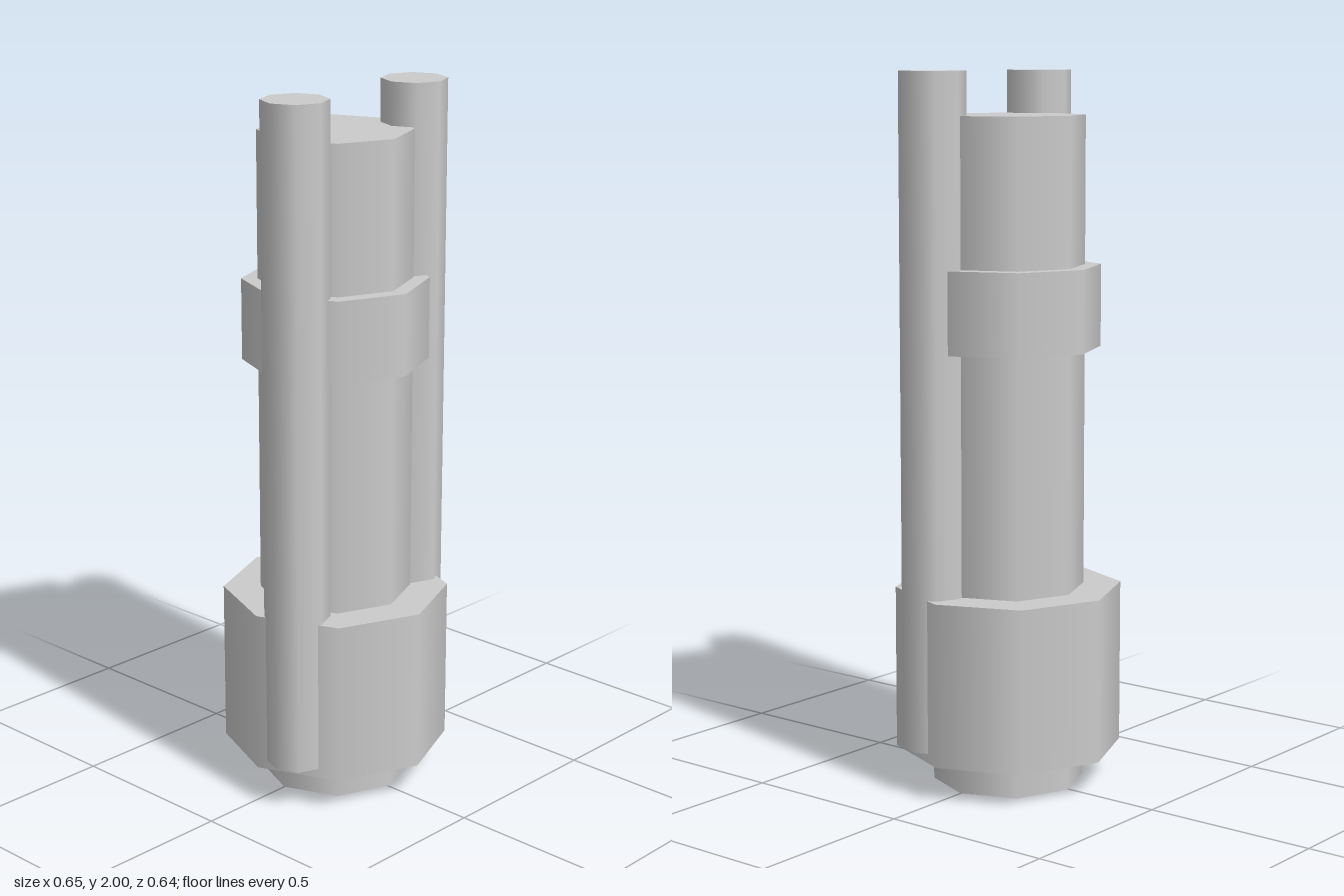
import * as THREE from 'three';

const material = new THREE.MeshStandardMaterial({ color: 0xcccccc });

// Upright eight-sided cylinder with smooth sides, spanning y0 to y1
function octagonal(name, radius, y0, y1, x, z) {
  const mesh = new THREE.Mesh(new THREE.CylinderGeometry(radius, radius, y1 - y0, 8), material);
  mesh.name = name;
  mesh.position.set(x, (y0 + y1) / 2, z);
  return mesh;
}

export function createModel() {
  const model = new THREE.Group();
  model.name = 'column';
  const axis = 0.005;

  // Central body with its wide base collar and upper band
  model.add(octagonal('core', 0.214, 0, 1.88, axis, 0));
  model.add(octagonal('baseCollar', 0.32, 0.1, 0.562, axis, 0));
  model.add(octagonal('upperBand', 0.259, 1.238, 1.468, axis, 0));

  // Pair of tall side rods set into the body
  for (const [name, x] of [['leftRod', 0.23], ['rightRod', -0.235]]) {
    model.add(octagonal(name, 0.092, 0.127, 2, x, 0.082));
  }
  return model;
}
